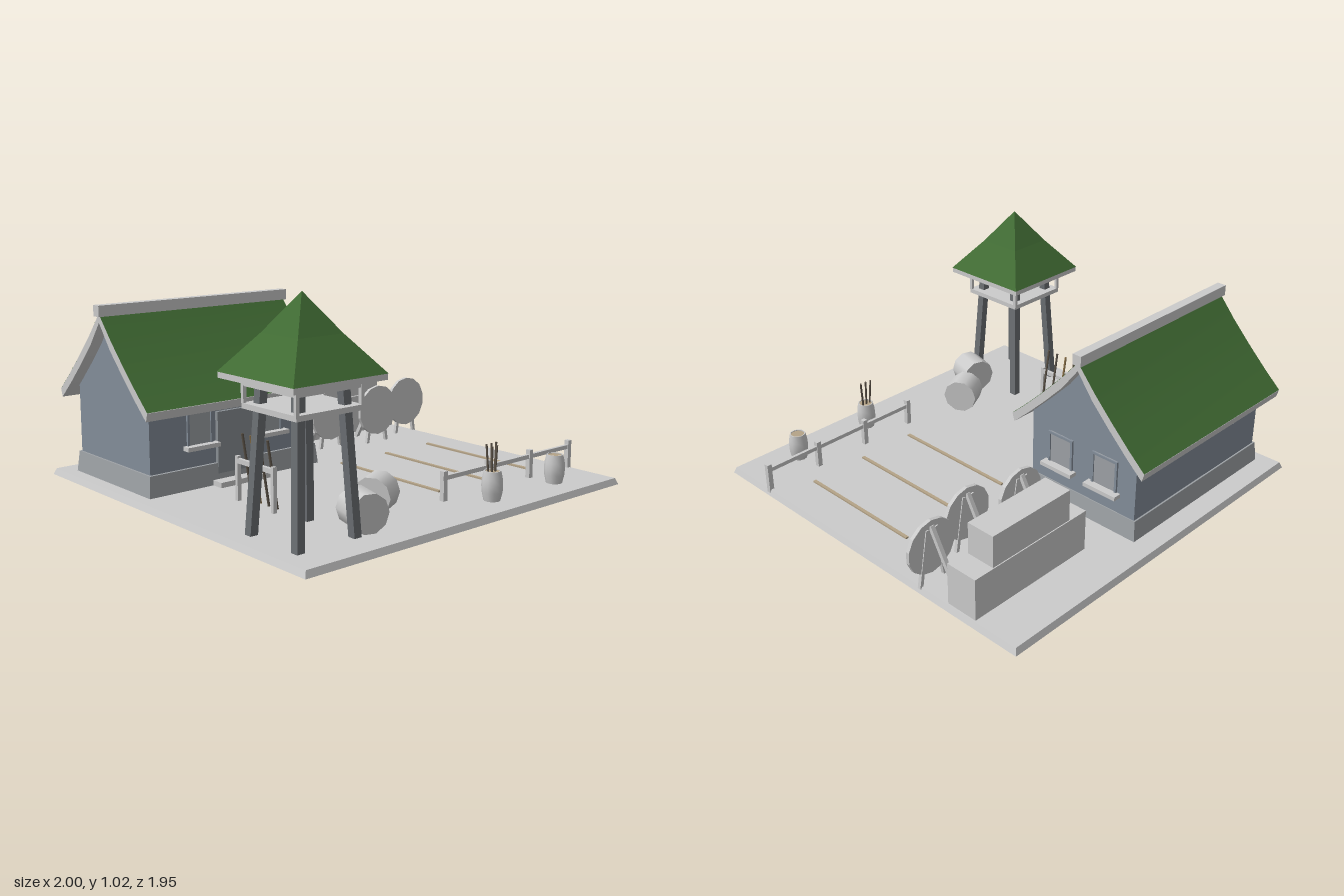
import * as THREE from 'three';
import { toCreasedNormals } from 'three/addons/utils/BufferGeometryUtils.js';

const mat = (color, flat = false) => new THREE.MeshStandardMaterial({ color, flatShading: flat, side: THREE.DoubleSide });
const GREY = mat(0xcccccc), FLAT = mat(0xcccccc, true);
const GREEN = mat(0x416c34), GREEN_FLAT = mat(0x416c34, true);
const WALL = mat(0x848e9a, true), PLINTH = mat(0x9ea2a6, true), DOOR = mat(0x8a8f94), POST = mat(0x6c7074, true);
const WOOD = mat(0x8a7048), TAN = mat(0xb5a488), DARK = mat(0x5c5348);
const G = 0.03; // ground level

function add(parent, name, geo, material, x = 0, y = 0, z = 0) {
  const m = new THREE.Mesh(geo, material);
  m.name = name;
  m.position.set(x, y, z);
  parent.add(m);
  return m;
}

// Box given by its extents; the top is inset by taper on every side
function box(parent, name, x0, x1, y0, y1, z0, z1, material = GREY, taper = 0) {
  const geo = new THREE.BoxGeometry(x1 - x0, y1 - y0, z1 - z0);
  const p = geo.attributes.position;
  for (let i = 0; i < p.count; i++) if (p.getY(i) > 0) {
    p.setX(i, p.getX(i) - Math.sign(p.getX(i)) * taper);
    p.setZ(i, p.getZ(i) - Math.sign(p.getZ(i)) * taper);
  }
  geo.computeVertexNormals();
  return add(parent, name, geo, material, (x0 + x1) / 2, (y0 + y1) / 2, (z0 + z1) / 2);
}

// Square or round bar between two points
function bar(parent, name, a, b, r, sides = 4, material = FLAT) {
  const p = new THREE.Vector3(...a), q = new THREE.Vector3(...b), d = q.clone().sub(p);
  const geo = new THREE.CylinderGeometry(r, r, d.length(), sides);
  if (sides === 4) geo.rotateY(Math.PI / 4);
  const m = add(parent, name, geo, material);
  m.position.copy(p).add(q).multiplyScalar(0.5);
  m.quaternion.setFromUnitVectors(new THREE.Vector3(0, 1, 0), d.normalize());
  return m;
}

function group(parent, name, x = 0, y = 0, z = 0) {
  const g = new THREE.Group();
  g.name = name;
  g.position.set(x, y, z);
  parent.add(g);
  return g;
}

// Extrudes a (z, y) outline along x
function prism(parent, name, pts, x0, x1, material) {
  const shape = new THREE.Shape(pts.map(([z, y]) => new THREE.Vector2(-z, y)));
  const geo = new THREE.ExtrudeGeometry(shape, { depth: x1 - x0, bevelEnabled: false }).rotateY(Math.PI / 2);
  return add(parent, name, toCreasedNormals(geo, 0.5), material, x0, 0, 0);
}

// Window facing +z with frame and sill
function windowUnit(parent, x, y, z, turn, w) {
  const g = group(parent, 'window', x, y, z);
  g.rotation.y = turn;
  const h = 0.16, t = 0.012;
  box(g, 'windowPane', -w / 2, w / 2, 0, h, 0, 0.004, PLINTH);
  for (const s of [-1, 1]) box(g, 'windowJamb', s * w / 2 - t / 2, s * w / 2 + t / 2, 0, h, 0, 0.01, WALL);
  box(g, 'windowLintel', -w / 2, w / 2, h - t, h, 0, 0.01, WALL);
  box(g, 'windowSill', -w / 2 - 0.025, w / 2 + 0.025, -0.02, 0, 0, 0.042);
}

function house(root) {
  const g = group(root, 'house');
  const cz = -0.533;
  box(g, 'plinth', -0.93, 0.055, G, 0.13, -0.86, -0.2, PLINTH, 0.01);
  prism(g, 'walls', [[-0.225, G], [-0.225, 0.5], [cz, 0.8], [-0.842, 0.5], [-0.842, G]], -0.91, 0.04, WALL);
  // Gently curved roof slopes with a thin green covering
  const slope = [[0, 0.838], [0.1, 0.722], [0.2, 0.618], [0.3, 0.52], [0.39, 0.438]];
  const slab = (s, top, bottom) => [
    ...slope.map(([d, y]) => [cz + s * d, y + top]),
    ...slope.map(([d, y]) => [cz + s * (d - (d ? 0.012 : 0)), y + bottom]).reverse()];
  for (const s of [-1, 1]) {
    prism(g, 'roofSlab', slab(s, -0.002, -0.042), -0.967, 0.097, GREY);
    prism(g, 'roofCovering', slab(s, 0, -0.002), -0.966, 0.096, GREEN);
  }
  box(g, 'ridgeBeam', -0.98, 0.107, 0.825, 0.877, -0.557, -0.51);
  box(g, 'door', -0.55, -0.32, G, 0.375, -0.225, -0.205, DOOR);
  box(g, 'doorStep', -0.585, -0.29, G, 0.055, -0.2, -0.135);
  for (const x of [-0.64, -0.23]) windowUnit(g, x, 0.235, -0.225, 0, 0.13);
  for (const z of [-0.402, -0.665]) windowUnit(g, 0.04, 0.235, z, Math.PI / 2, 0.135);
}

function watchtower(root) {
  const g = group(root, 'watchtower', -0.742, 0, 0.647);
  const R = Math.SQRT2;
  // Pyramid roof, a touch concave
  [[0.24, 0.115, 0.7, 0.857], [0.115, 0, 0.857, 1.022]].forEach(([r0, r1, y0, y1]) =>
    add(g, 'towerRoof', new THREE.CylinderGeometry(r1 * R, r0 * R, y1 - y0, 4, 1, true).rotateY(Math.PI / 4),
      GREEN_FLAT, 0, (y0 + y1) / 2));
  box(g, 'roofPlate', -0.238, 0.238, 0.675, 0.701, -0.238, 0.238);
  box(g, 'platform', -0.172, 0.172, 0.553, 0.576, -0.172, 0.172);
  for (const s of [-1, 1]) {
    box(g, 'upperRail', -0.172, 0.172, 0.645, 0.665, s * 0.165 - 0.007, s * 0.165 + 0.007);
    box(g, 'upperRail', s * 0.165 - 0.007, s * 0.165 + 0.007, 0.645, 0.665, -0.172, 0.172);
    for (const t of [-1, 1]) {
      bar(g, 'towerLeg', [s * 0.15, 0, t * 0.15], [s * 0.113, 0.68, t * 0.113], 0.027, 4, POST);
      box(g, 'railPost', s * 0.165 - 0.008, s * 0.165 + 0.008, 0.575, 0.665, t * 0.165 - 0.008, t * 0.165 + 0.008);
    }
  }
}

function target(root, x, z) {
  const g = group(root, 'archeryTarget', x, 0, z);
  add(g, 'targetDisc', new THREE.CylinderGeometry(0.133, 0.133, 0.018, 14).rotateX(Math.PI / 2), FLAT, 0, 0.205, 0);
  for (const s of [-1, 1]) bar(g, 'targetLeg', [s * 0.07, 0.02, -0.004], [s * 0.025, 0.3, -0.006], 0.012);
  bar(g, 'targetStrut', [0, 0.02, -0.17], [0, 0.31, -0.008], 0.014);
}

function lyingBarrel(root, x, z, dx, dz, length) {
  const g = group(root, 'lyingBarrel', x, G + 0.084, z);
  g.rotation.y = Math.atan2(-dz, dx);
  add(g, 'barrelBody', new THREE.CylinderGeometry(0.088, 0.088, length, 10).rotateZ(Math.PI / 2), GREY);
}

function standingBarrel(root, x, z, arrows) {
  const g = group(root, 'arrowBarrel', x, G, z);
  const profile = [[0, 0], [0.038, 0], [0.047, 0.04], [0.049, 0.07], [0.047, 0.1], [0.039, 0.137], [0.034, 0.137], [0.034, 0.125]];
  add(g, 'barrelStaves', toCreasedNormals(new THREE.LatheGeometry(profile.map(p => new THREE.Vector2(...p)), 10), 0.7), GREY);
  add(g, 'barrelTop', new THREE.CylinderGeometry(0.036, 0.036, 0.006, 10), TAN, 0, 0.13, 0);
  for (let i = 0; i < arrows; i++) {
    const t = i / (arrows - 1) - 0.5, dz = 0.01 * (i % 2 ? 1 : -1);
    bar(g, 'arrow', [t * 0.035, 0.08, dz * 0.5], [t * 0.065, 0.26 - 0.01 * (i % 2), dz], 0.005, 5, DARK);
  }
}

function weaponRack(root) {
  const g = group(root, 'weaponRack', -0.64, 0, 0.2);
  for (const s of [-1, 1]) box(g, 'rackPost', -0.01, 0.01, G, 0.235, s * 0.128 - 0.009, s * 0.128 + 0.009);
  box(g, 'rackRail', -0.009, 0.009, 0.203, 0.225, -0.135, 0.135);
  [-0.085, -0.025, 0.035, 0.095].forEach((z, i) =>
    bar(g, 'spear', [0.045, G, z], [-0.006, 0.345, z], 0.006, 6, i === 1 ? WOOD : DARK));
}

function fence(root) {
  const g = group(root, 'shootingFence', 0, 0, 0.68);
  for (const x of [0.043, 0.337, 0.635, 0.93]) box(g, 'fencePost', x - 0.012, x + 0.012, 0.01, 0.167, -0.012, 0.012);
  box(g, 'fenceRail', 0.03, 0.94, 0.125, 0.145, -0.008, 0.008);
}

export function createModel() {
  const root = new THREE.Group();
  root.name = 'archeryRange';
  box(root, 'ground', -1, 0.947, 0, G, -0.976, 0.972, FLAT, 0.012);
  house(root);
  watchtower(root);
  // Straw backstop behind the targets
  box(root, 'lowerStraw', 0.247, 0.93, G, 0.235, -0.732, -0.57);
  box(root, 'upperStraw', 0.352, 0.822, 0.235, 0.39, -0.727, -0.583);
  target(root, 0.317, -0.4);
  target(root, 0.588, -0.332);
  target(root, 0.866, -0.4);
  for (const x of [0.13, 0.438, 0.745]) box(root, 'laneMarker', x - 0.008, x + 0.008, G - 0.005, 0.038, -0.105, 0.575, TAN);
  fence(root);
  weaponRack(root);
  lyingBarrel(root, -0.3, 0.605, -0.886, 0.46, 0.13);
  lyingBarrel(root, -0.505, 0.742, -0.29, 0.96, 0.145);
  standingBarrel(root, 0.213, 0.815, 5);
  standingBarrel(root, 0.655, 0.815, 0);
  return root;
}
